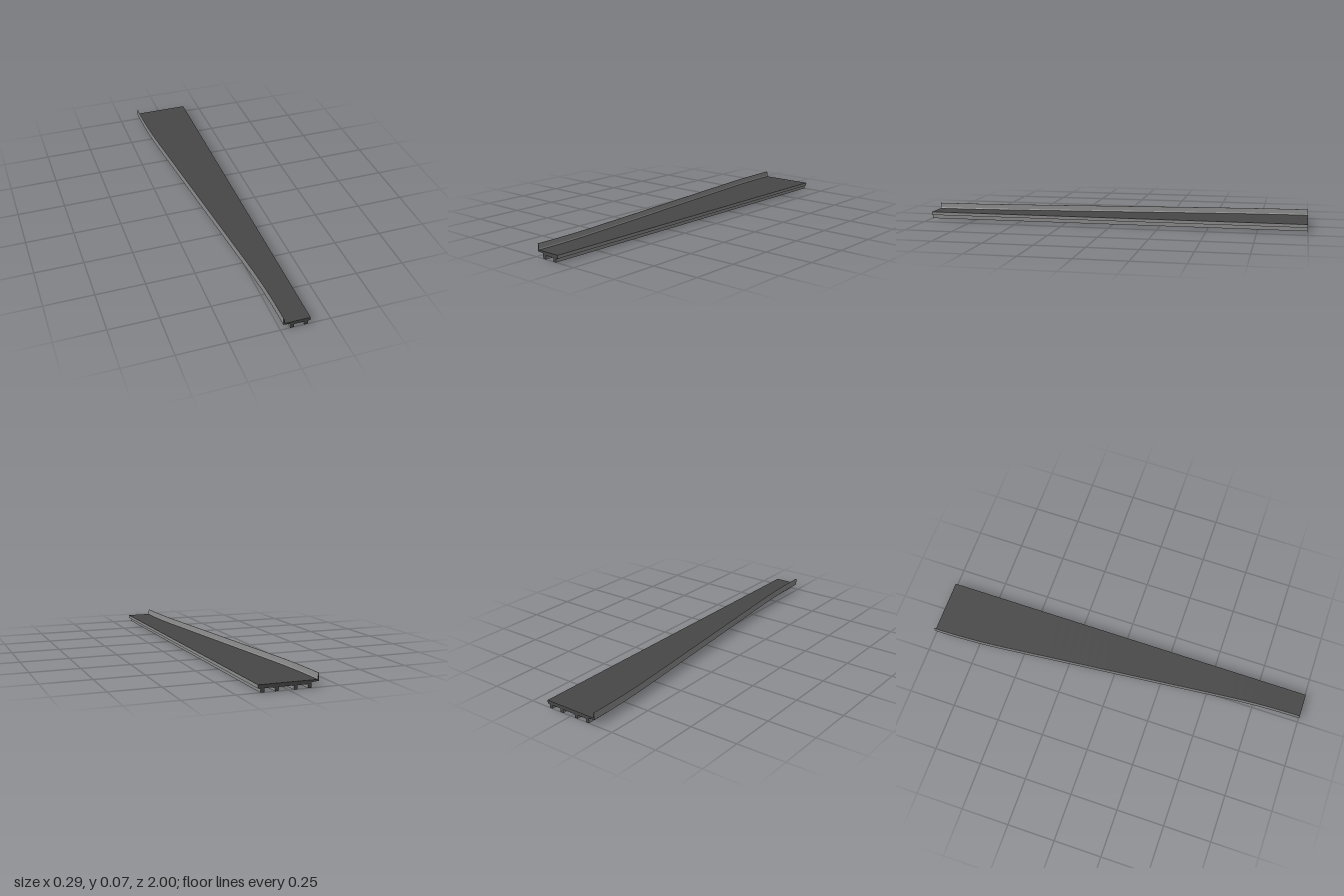
import * as THREE from 'three';

const asphalt = new THREE.MeshStandardMaterial({ color: 0x474747 });
asphalt.name = 'dark asphalt';
const concrete = new THREE.MeshStandardMaterial({ color: 0x8c8c8c });
concrete.name = 'grey concrete';

const SEGMENTS = 40;
const DRIFT = -0.16; // sideways travel of the diverging side, front to back
const EASE = 0.2; // share of the length that bends at each end

// Straight diagonal with a short bend at either end
const ease = (t) => (t < EASE ? (t * t) / (2 * EASE) : t - EASE / 2) / (1 - EASE);
const shift = (z) => {
  const t = (1 - z) / 2;
  return DRIFT * (t < 0.5 ? ease(t) : 1 - ease(1 - t));
};

// Sweeps a counter-clockwise profile of [x, y, follow, paint] from front to back.
// follow: 1 keeps to the diverging curve, 0 stays straight.
// paint: material index (0 asphalt, 1 concrete) of the face to the next point.
function sweep(name, profile) {
  const positions = [];
  const indices = [];
  const geometry = new THREE.BufferGeometry();
  const point = ([x, y, follow], z) => positions.push(x + follow * shift(z), y, z);

  // Long faces: each has its own vertices, so profile edges stay sharp
  profile.forEach((a, i) => {
    const b = profile[(i + 1) % profile.length];
    const base = positions.length / 3;
    const start = indices.length;
    for (let s = 0; s <= SEGMENTS; s++) {
      const z = 1 - (2 * s) / SEGMENTS;
      point(a, z);
      point(b, z);
      if (s < SEGMENTS) {
        const k = base + s * 2;
        indices.push(k, k + 2, k + 1, k + 1, k + 2, k + 3);
      }
    }
    geometry.addGroup(start, indices.length - start, a[3]);
  });

  // End caps
  for (const z of [1, -1]) {
    const base = positions.length / 3;
    const start = indices.length;
    const outline = profile.map(([x, y, f]) => new THREE.Vector2(x + f * shift(z), y));
    profile.forEach((p) => point(p, z));
    for (const [a, b, c] of THREE.ShapeUtils.triangulateShape(outline, [])) {
      if (z > 0) indices.push(base + a, base + b, base + c);
      else indices.push(base + a, base + c, base + b);
    }
    geometry.addGroup(start, indices.length - start, 0);
  }

  geometry.setAttribute('position', new THREE.Float32BufferAttribute(positions, 3));
  geometry.setIndex(indices);
  geometry.computeVertexNormals();
  const mesh = new THREE.Mesh(geometry, [asphalt, concrete]);
  mesh.name = name;
  return mesh;
}

// Rectangular girder under the deck
function girder(name, x, follow) {
  const h = 0.009;
  return sweep(name, [
    [x - h, 0, follow, 1],
    [x + h, 0, follow, 1],
    [x + h, 0.027, follow, 1],
    [x - h, 0.027, follow, 1],
  ]);
}

export function createModel() {
  const model = new THREE.Group();
  model.name = 'wideningRoadDeck';

  // Road slab: asphalt on top, concrete underside and edges
  model.add(sweep('deck', [
    [0.0145, 0.029, 1, 1],
    [0.05, 0.026, 1, 1],
    [0.05, 0.0185, 1, 1],
    [0.133, 0.0185, 0, 1],
    [0.135, 0.0195, 0, 1],
    [0.147, 0.0195, 0, 1],
    [0.147, 0.036, 0, 0],
    [0.0145, 0.036, 1, 1],
  ]));

  // Parapet with a flared foot along the diverging edge
  model.add(sweep('parapet', [
    [0.013, 0.029, 1, 1],
    [0.02, 0.0287, 1, 1],
    [0.02, 0.037, 1, 1],
    [0.0175, 0.042, 1, 1],
    [0.0155, 0.066, 1, 1],
    [0.013, 0.066, 1, 1],
  ]));

  // Two straight girders and two that follow the curve
  for (const [side, x] of [['inner', 0.057], ['outer', 0.126]]) {
    model.add(girder(side + 'StraightGirder', x, 0));
    model.add(girder(side + 'CurvedGirder', x, 1));
  }
  return model;
}
